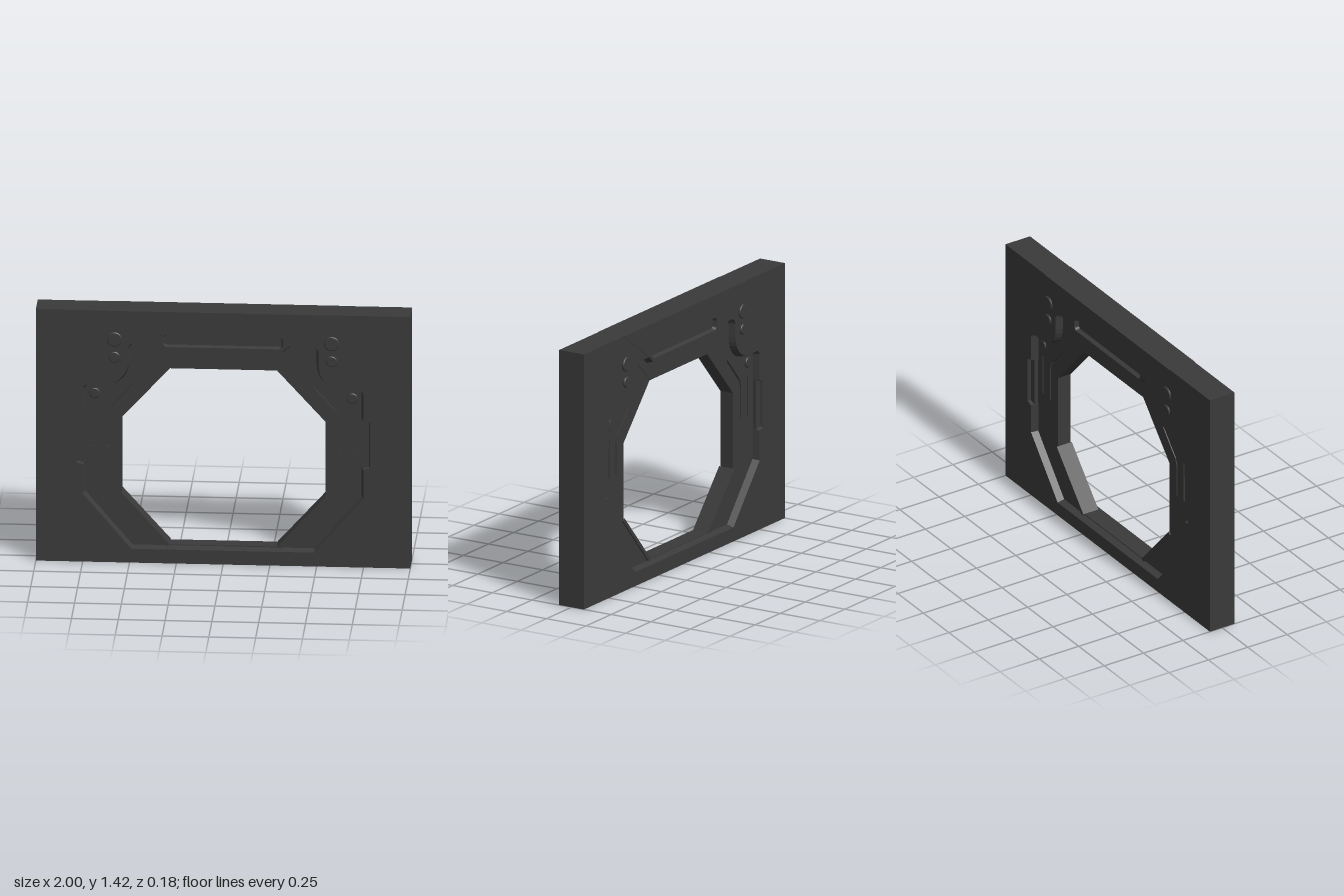
import * as THREE from 'three';

const W = 1, H = 1.42;                       // half width and height of the wall
const Z_CORE = 0.02, Z_FLOOR = 0.04, Z_FACE = 0.078;
const mat = new THREE.MeshStandardMaterial({ color: 0x3a3a3a, side: THREE.DoubleSide });
const V = (x, y) => new THREE.Vector2(x, y);

function mesh(name, geometry, parent) {
  const m = new THREE.Mesh(geometry, mat);
  m.name = name;
  parent.add(m);
  return m;
}

// Flat slab between two depths, with holes
function slab(name, points, holes, z0, z1, parent) {
  const shape = new THREE.Shape(points);
  shape.holes = holes.map((h) => new THREE.Path(h));
  const g = new THREE.ExtrudeGeometry(shape, { depth: z1 - z0, bevelEnabled: false });
  g.translate(0, 0, z0);
  return mesh(name, g, parent);
}

// Right half of a loop (bottom to top) completed by its mirror image
const mirrorLoop = (half) =>
  [...half, ...half.slice().reverse().map(([x, y, r]) => [-x, y, r])];

// Loop of [x, y, radius] corners turned into points with rounded corners
function roundedLoop(corners) {
  const out = [];
  corners.forEach(([x, y, r], i) => {
    const n = corners.length, c = V(x, y);
    if (!r) return out.push(c);
    const toward = (k) => V(corners[k][0], corners[k][1]).sub(c).setLength(r).add(c);
    const a = toward((i + n - 1) % n), b = toward((i + 1) % n);
    const o = a.clone().add(b).sub(c);       // centre of a right-angled fillet
    for (let k = 0; k <= 8; k++) {
      const t = (k / 8) * Math.PI / 2;
      out.push(V(
        o.x + (a.x - o.x) * Math.cos(t) + (b.x - o.x) * Math.sin(t),
        o.y + (a.y - o.y) * Math.cos(t) + (b.y - o.y) * Math.sin(t)));
    }
  });
  return out;
}

// Moves a counter-clockwise loop inwards by d
function inset(loop, d) {
  const n = loop.length;
  const normal = (a, b) => V(a.y - b.y, b.x - a.x).normalize();
  return loop.map((p, i) => {
    const n1 = normal(loop[(i + n - 1) % n], p), n2 = normal(p, loop[(i + 1) % n]);
    const s = n1.clone().add(n2);
    return p.clone().addScaledVector(s, d / (1 + n1.dot(n2)));
  });
}

// Sloping band from a loop at z0 to its inset at z1
function slope(name, loop, d, z0, z1, parent) {
  const inner = inset(loop, d), pos = [];
  loop.forEach((p, i) => {
    const j = (i + 1) % loop.length, q = loop[j], a = inner[i], b = inner[j];
    pos.push(p.x, p.y, z0, q.x, q.y, z0, b.x, b.y, z1);
    pos.push(p.x, p.y, z0, b.x, b.y, z1, a.x, a.y, z1);
  });
  const g = new THREE.BufferGeometry();
  g.setAttribute('position', new THREE.Float32BufferAttribute(pos, 3));
  g.computeVertexNormals();
  mesh(name, g, parent);
}

// Closed outline of a thin stroke along a path
function stroke(path, w) {
  const side = (s) => path.map((p, i) => {
    const a = path[Math.max(i - 1, 0)], b = path[Math.min(i + 1, path.length - 1)];
    const t = V(b[0] - a[0], b[1] - a[1]).normalize();
    return V(p[0] - t.y * s, p[1] + t.x * s);
  });
  return [...side(w / 2), ...side(-w / 2).reverse()];
}

const flip = (pts) => pts.map((p) => V(-p.x, p.y)).reverse();

const wall = [V(-W, 0), V(W, 0), V(W, H), V(-W, H)];
const opening = roundedLoop(mirrorLoop([[0.285, 0.095], [0.545, 0.385], [0.545, 0.805], [0.285, 1.09]]));
const recess = roundedLoop(mirrorLoop([
  [0.49, 0.078], [0.75, 0.385], [0.75, 0.55], [0.785, 0.56], [0.785, 0.82], [0.75, 0.83],
  [0.75, 1.0, 0.03], [0.51, 1.0, 0.13], [0.51, 1.24, 0.04], [0.35, 1.24], [0.315, 1.205],
]));
const slot = roundedLoop(mirrorLoop([[0.32, 1.222, 0.022], [0.32, 1.292, 0.022]]));
const grooves = [
  stroke([[0.69, 0.64], [0.69, 0.87]], 0.01),
  stroke([[0.62, 0.64], [0.62, 0.82], [0.605, 0.865], [0.485, 1.0]], 0.01),
].flatMap((g) => [g, flip(g)]);

// Round stud with a chamfered rim
function stud(name, x, y, r, z, h, parent) {
  const profile = [V(0, 0), V(r, 0), V(r, h * 0.6), V(r - h * 0.4, h), V(0, h)];
  const pts = profile.flatMap((p, i) => (i > 0 && i < 4 ? [p, p.clone()] : [p]));
  const g = new THREE.LatheGeometry(pts, 28);
  g.rotateX(Math.PI / 2).translate(x, y, z);
  mesh(name, g, parent);
}

// Everything on one side of the wall
function createFace(name) {
  const face = new THREE.Group();
  face.name = name;

  // Recessed floor with its thin grooves, and the thick surround
  slab('recessFloor', wall, [opening, ...grooves], Z_CORE, Z_FLOOR, face);
  slab('surround', wall, [recess, slot], Z_FLOOR, Z_FACE, face);
  slope('recessEdge', recess, 0.012, Z_FACE, Z_FLOOR, face);

  // Long slot above the doorway
  slope('slotEdge', slot, 0.008, Z_FACE, 0.058, face);
  slab('slotFloor', slot, [], Z_FLOOR, 0.058, face);

  // Faintly raised header plate around the slot, and its continuation in the recess
  const header = roundedLoop(mirrorLoop([[0.315, 1.205], [0.35, 1.24], [0.61, H]]));
  slab('headerPlate', header, [slot], Z_FACE, Z_FACE + 0.003, face);
  const lintel = roundedLoop(mirrorLoop([[0.285, 1.09], [0.41, 1.21]]));
  slab('lintelPlate', lintel, [], Z_FLOOR, Z_FLOOR + 0.003, face);

  for (const s of [1, -1]) {
    // Shallow side notch
    const notch = [V(0.742, 0.545), V(0.785, 0.56), V(0.785, 0.82), V(0.742, 0.835)];
    slab('sideNotchFloor', s > 0 ? notch : flip(notch), [], Z_FLOOR, 0.06, face);
    // Trim along the lower diagonals of the doorway
    const trim = [V(0.285, 0.095), V(0.305, 0.085), V(0.562, 0.375), V(0.545, 0.385)];
    slab('diagonalTrim', s > 0 ? trim : flip(trim), [], Z_FLOOR, Z_FLOOR + 0.008, face);
    // Studs
    stud('largeStud', s * 0.58, 1.26, 0.04, Z_FACE, 0.01, face);
    stud('smallStud', s * 0.58, 1.16, 0.03, Z_FACE, 0.01, face);
    stud('innerStud', s * 0.688, 0.942, 0.029, Z_FLOOR, 0.01, face);
  }
  return face;
}

export function createModel() {
  const model = new THREE.Group();
  model.name = 'doorwayWall';
  slab('wallCore', wall, [opening], -Z_CORE, Z_CORE, model);
  model.add(createFace('frontFace'));
  const back = createFace('backFace');
  back.rotation.y = Math.PI;
  model.add(back);
  return model;
}
